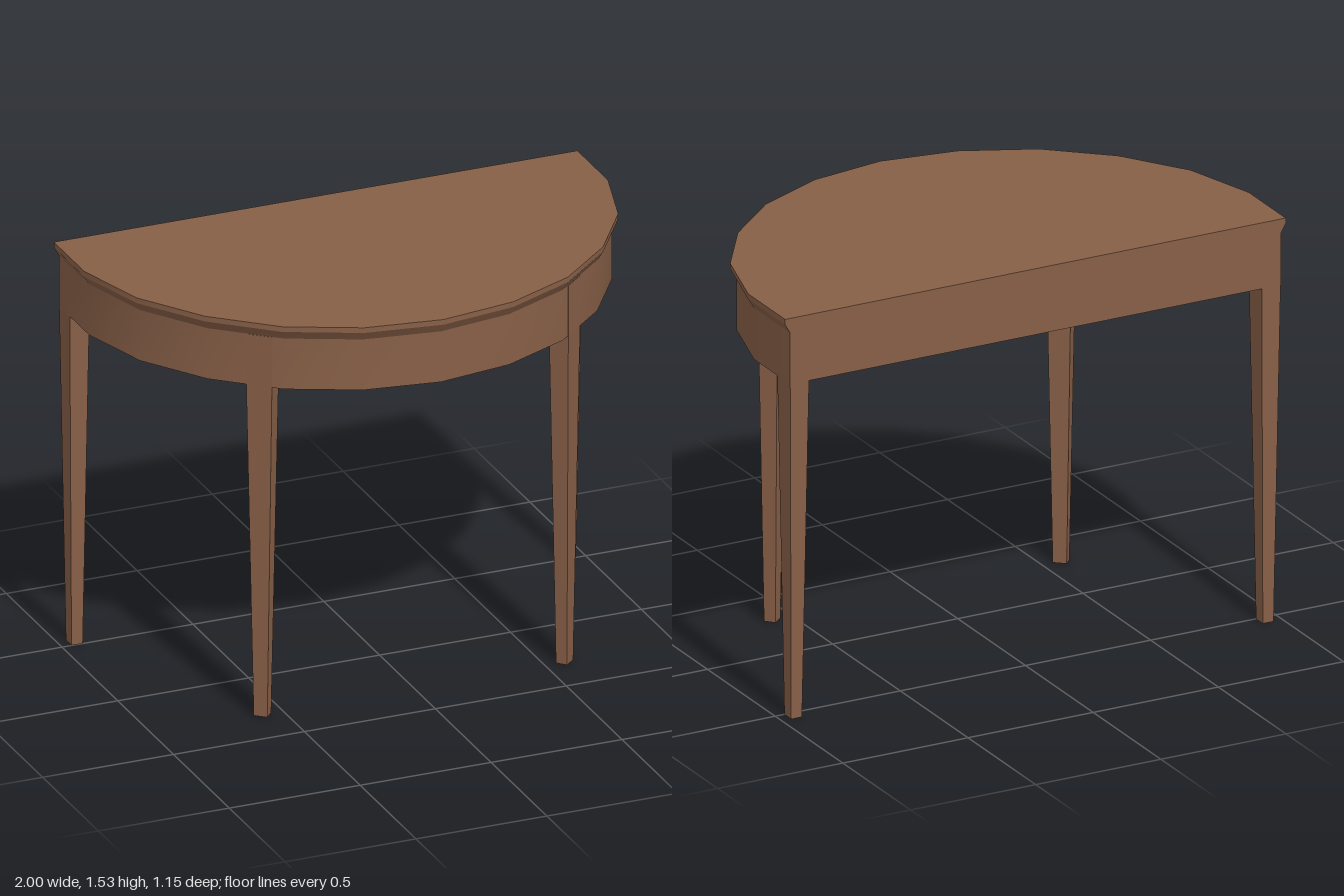
import * as THREE from 'three';
import { mergeGeometries } from 'three/addons/utils/BufferGeometryUtils.js';

const BACK = -0.574;
const HEIGHT = 1.53, EDGE = 1.51, UNDER = 1.475, APRON_BOTTOM = 1.28;

// Half of the D-shaped outline (x, z), from the back corner to the front centre
const half = [[1, BACK], [1, -0.3], [0.92, -0.02], [0.76, 0.22], [0.545, 0.41], [0.285, 0.53], [0, 0.574]];
const curve = [...half, ...half.slice(0, -1).reverse().map(([x, z]) => [-x, z])];
const backEdge = [curve[curve.length - 1], curve[0]];

// A ring is the outline scaled about the middle of its back edge, at height y
const ring = (y, sx = 1, sz = sx, inset = 0) => ({
  y, at: ([x, z]) => [x * sx, y, BACK + inset + (z - BACK) * sz],
});

// Surface between two rings along one path, smooth along its length
function strip(path, a, b) {
  const pos = [], idx = [];
  path.forEach((p, i) => {
    pos.push(...a.at(p), ...b.at(p));
    if (i) {
      const k = 2 * i - 2;
      idx.push(k, k + 1, k + 2, k + 2, k + 1, k + 3);
    }
  });
  const g = new THREE.BufferGeometry();
  g.setAttribute('position', new THREE.Float32BufferAttribute(pos, 3));
  g.setIndex(idx);
  g.computeVertexNormals();
  return g;
}
const band = (a, b) => [strip(curve, a, b), strip(backEdge, a, b)];

// Flat D-shaped face, looking up or down
function cap(r, up) {
  const s = up ? -1 : 1;
  const pts = curve.map((p) => r.at(p)).map(([x, , z]) => new THREE.Vector2(x, s * z));
  const g = new THREE.ShapeGeometry(new THREE.Shape(pts));
  g.deleteAttribute('uv');
  return g.rotateX(s * Math.PI / 2).translate(0, r.y, 0);
}

// Square leg: straight inside the apron, tapering evenly below it
function legGeometry() {
  const w = 0.095, d = 0.075, top = UNDER - 0.001;
  const g = new THREE.BoxGeometry(w, top, d, 1, 2, 1).translate(0, top / 2, 0);
  const p = g.attributes.position;
  for (let i = 0; i < p.count; i++) {
    const y = p.getY(i);
    if (y < 0.01) p.setXYZ(i, p.getX(i) * 0.53, 0, p.getZ(i) * 0.57);
    else if (y < top - 0.01) p.setY(i, APRON_BOTTOM);
  }
  const flat = g.toNonIndexed();
  flat.computeVertexNormals();
  return flat;
}

export function createModel() {
  const table = new THREE.Group();
  table.name = 'halfRoundTable';
  const wood = new THREE.MeshStandardMaterial({ color: 0x875f47 });
  wood.name = 'brown wood';
  const add = (name, geometry) => {
    const m = new THREE.Mesh(geometry, wood);
    m.name = name;
    table.add(m);
    return m;
  };

  // Table top with a thin edge and an undercut bevel
  const top = ring(HEIGHT), edge = ring(EDGE), under = ring(UNDER, 0.98);
  add('tableTop', mergeGeometries([
    cap(top, true), ...band(edge, top), ...band(under, edge), cap(under, false),
  ]));

  // Hollow apron: outer wall, inner wall and lower rim
  const outer = ring(APRON_BOTTOM, 0.98);
  const inner = ring(APRON_BOTTOM, 0.95, 0.928, 0.03);
  const innerTop = ring(UNDER, 0.95, 0.928, 0.03);
  add('apron', mergeGeometries([
    ...band(outer, under), ...band(innerTop, inner), ...band(inner, outer),
  ]));

  // Four legs, each facing outward
  const leg = legGeometry();
  for (const [side, s] of [['left', 1], ['right', -1]]) {
    const back = add(side + 'BackLeg', leg);
    back.position.set(s * 0.942, 0, BACK + 0.048);
    back.rotation.y = s * Math.PI / 2;
    const front = add(side + 'FrontLeg', leg);
    front.position.set(s * 0.577, 0, 0.304);
    front.rotation.y = s * 0.72;
  }
  return table;
}
